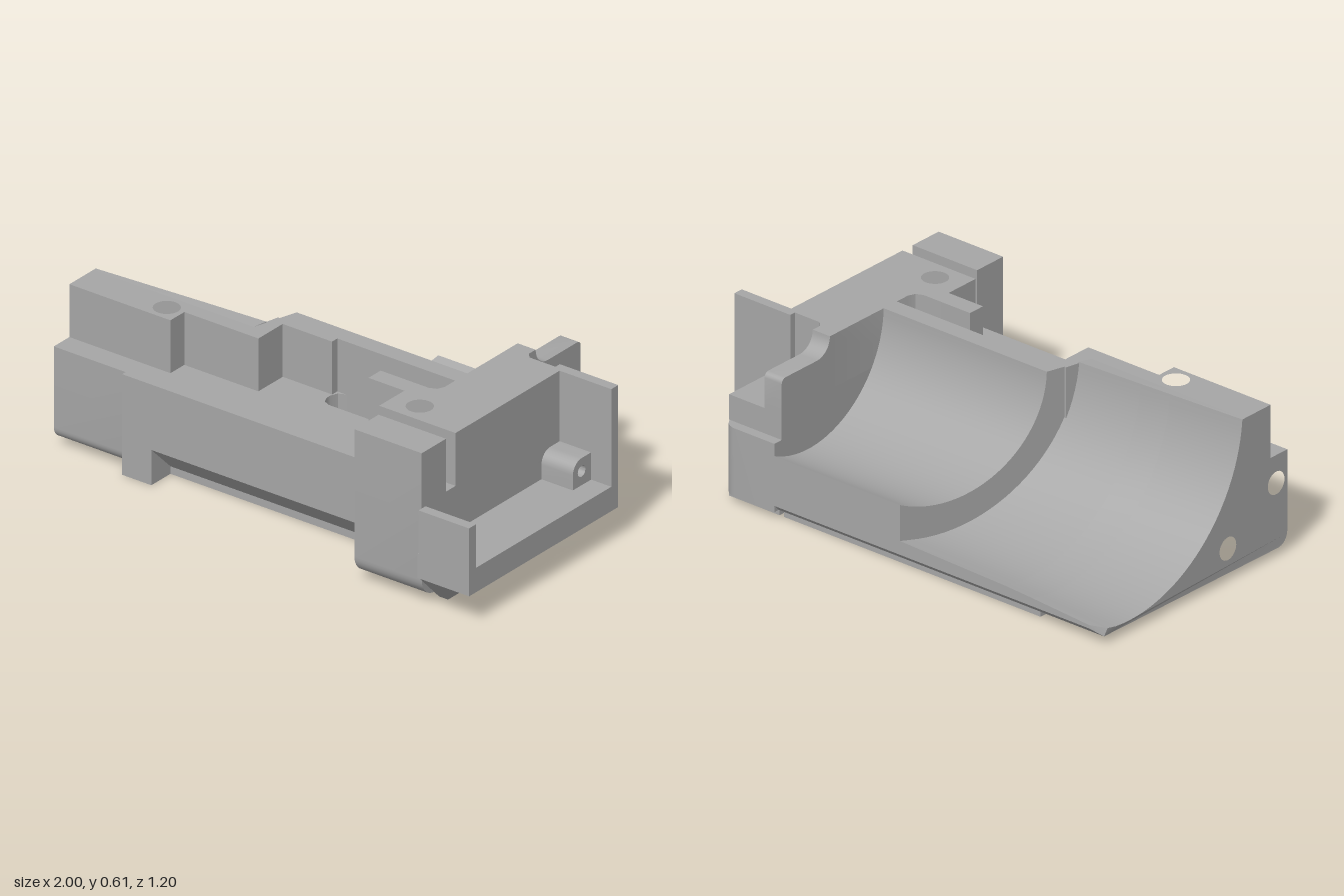
import * as THREE from 'three';
import { toCreasedNormals } from 'three/addons/utils/BufferGeometryUtils.js';

// Slanted step plane between the two cradles
const slant = z => -0.06 - 0.296 * (z + 0.6);
const BIG = { z: -0.45, y: 0.66, r: 0.61 };
const SMALL = { z: -0.42, y: 0.62, r: 0.41 };

// Concave cradle profile from the top face round to the back lip, as [z, y]
function cradleArc(c) {
  const a0 = Math.asin((c.y - 0.61) / c.r), a1 = Math.acos((-0.6 - c.z) / c.r);
  return Array.from({ length: 29 }, (_, i) => {
    const a = a0 + (a1 - a0) * i / 28;
    return [c.z + c.r * Math.cos(a), c.y - c.r * Math.sin(a)];
  });
}

// Quarter arc points as [u, v]
function arc(u, v, r, from, to, n = 8) {
  return Array.from({ length: n + 1 }, (_, i) => {
    const a = (from + (to - from) * i / n) * Math.PI / 180;
    return [u + r * Math.cos(a), v + r * Math.sin(a)];
  });
}

function circle(u, v, r) {
  const p = new THREE.Path();
  p.absarc(u, v, r, 0, Math.PI * 2, true);
  return p;
}

export function createModel() {
  const group = new THREE.Group();
  const grey = new THREE.MeshStandardMaterial({ color: 0xa6a6a6 });

  function add(name, geo) {
    const mesh = new THREE.Mesh(toCreasedNormals(geo, 0.5), grey);
    mesh.name = name;
    group.add(mesh);
  }

  function solid(points, depth, holes) {
    const shape = new THREE.Shape(points.map(p => new THREE.Vector2(...p)));
    shape.holes = holes;
    return new THREE.ExtrudeGeometry(shape, { depth, bevelEnabled: false, curveSegments: 16 });
  }

  // Profile of [z, y] points swept along x; holes are [z, y, r]
  function alongX(name, pts, x0, x1, holes = [], move) {
    const g = solid(pts.map(([z, y]) => [-z, y]), x1 - x0, holes.map(h => circle(-h[0], h[1], h[2])));
    g.rotateY(Math.PI / 2).translate(x0, 0, 0);
    if (move) {
      const p = g.attributes.position, v = new THREE.Vector3();
      for (let i = 0; i < p.count; i++) {
        v.fromBufferAttribute(p, i);
        move(v);
        p.setXYZ(i, v.x, v.y, v.z);
      }
      g.computeVertexNormals();
    }
    add(name, g);
  }

  // Plan of [x, z] points raised along y; holes are [x, z, r]
  function alongY(name, pts, y0, y1, holes = []) {
    const g = solid(pts.map(([x, z]) => [x, -z]), y1 - y0, holes.map(h => circle(h[0], -h[1], h[2])));
    add(name, g.rotateX(-Math.PI / 2).translate(0, y0, 0));
  }

  function box(name, x0, x1, y0, y1, z0, z1) {
    add(name, new THREE.BoxGeometry(x1 - x0, y1 - y0, z1 - z0)
      .translate((x0 + x1) / 2, (y0 + y1) / 2, (z0 + z1) / 2));
  }

  // Large tapering cradle in three lengths with different front edges
  const backEdge = [[-0.6, 0.055], [-0.575, 0.03]];
  const bigProfile = front => [...cradleArc(BIG), ...backEdge, ...front, [0.17, 0.4], [0.17, 0.61]];
  function shapeBig(v) {
    const z0 = v.z, x0 = v.x;
    const d = Math.hypot(v.z - BIG.z, v.y - BIG.y);
    if (Math.abs(d - BIG.r) < 0.002) {
      const k = (BIG.r - 0.06 * (x0 + 1)) / BIG.r;
      v.z = z0 < -0.595 ? z0 : BIG.z + (v.z - BIG.z) * k;
      v.y = BIG.y + (v.y - BIG.y) * k;
    }
    if (x0 < -0.999 && z0 < -0.54) v.x += 0.06 - Math.sqrt(Math.max(0, 0.0036 - (z0 + 0.54) ** 2));
    if (x0 > -0.31) v.x = slant(v.z);
  }
  alongX('largeCradleEnd', bigProfile([...arc(0.35, 0.08, 0.05, -90, 0), [0.4, 0.4]]), -1, -0.68,
    [[0.34, 0.29, 0.045], [0.08, 0.13, 0.045]], shapeBig);
  alongX('largeCradleRib', bigProfile([[0.42, 0.03], [0.42, 0.4]]), -0.68, -0.55, [], shapeBig);
  alongX('largeCradleMiddle', bigProfile([[0.31, 0.03], [0.42, 0.14], [0.42, 0.4]]), -0.55, -0.3, [], shapeBig);

  // Small cradle, starting at the slanted step
  alongX('smallCradle', [...cradleArc(SMALL), ...backEdge, [0.06, 0.03], [0.06, 0.61]], -0.3, 0.525, [],
    v => { if (v.x < -0.29) v.x = slant(v.z); });

  // Lower front body with the long slot
  alongY('slottedBody', [[-0.264, 0.06], [0.04, 0.06], [0.012, 0.072], [0, 0.1], [0, 0.12], [0.012, 0.148],
    [0.04, 0.16], [0.485, 0.16], [0.513, 0.148], [0.525, 0.12], [0.525, 0.06], [0.77, 0.06], [0.77, 0.31],
    [slant(0.31), 0.31]], 0.03, 0.4);
  alongX('frontChamfer', [[0.31, 0.03], [0.42, 0.14], [0.42, 0.4], [0.31, 0.4]], -0.3, 0.43, [],
    v => { if (v.x < -0.29) v.x = slant(v.z); });
  box('frontCorner', 0.43, 0.77, 0.03, 0.4, 0.31, 0.42);

  // Raised rails on top, with screw holes
  alongY('topRail', [[-1, 0.17], [slant(0.17), 0.17], [-0.264, 0.06], [0, 0.06], [0, 0.09], [-0.22, 0.09],
    [-0.22, 0.23], [-0.55, 0.23], [-0.55, 0.31], [-1, 0.31]], 0.4, 0.61, [[-0.62, 0.24, 0.05]]);
  alongY('topEndBlock', [[0.27, 0.16], [0.485, 0.16], [0.513, 0.148], [0.525, 0.12], [0.525, -0.3],
    [0.605, -0.3], [0.605, -0.26], [0.625, -0.24], [0.77, -0.24], [0.77, 0.375], [0.43, 0.375],
    [0.43, 0.23], [0.27, 0.23]], 0.4, 0.61, [[0.545, 0.29, 0.05]]);

  // End wall of the small cradle
  alongY('endWallBase', [[0.525, -0.6], ...arc(0.71, -0.54, 0.06, -90, 0), [0.77, 0.06], [0.525, 0.06]], 0.03, 0.3);
  box('endWallLedge', 0.525, 0.77, 0.3, 0.4, -0.56, 0.06);
  alongX('endWallTop', [[-0.3, 0.4], ...arc(-0.37, 0.61, 0.07, 0, -90),
    ...arc(-0.54, 0.52, 0.02, 90, 180, 4), [-0.56, 0.4]], 0.525, 0.605);

  // Tall front post with a rounded lower edge, behind it a narrow slit
  alongX('frontPost', [[0.42, 0.03], ...arc(0.495, 0.105, 0.075, -90, 0), [0.57, 0.61], [0.43, 0.61],
    [0.43, 0.4], [0.42, 0.4]], 0.47, 0.77);

  // Thin foot pad with slot, groove and hole
  alongY('footPad', [[-0.68, -0.56], [0.515, -0.56], [0.515, 0.06], [0.03, 0.06], [0, 0.09], [0, 0.13],
    [0.03, 0.16], [0.535, 0.16], [0.535, -0.56], [0.77, -0.56], [0.77, 0.31], [0.47, 0.31], [0.47, 0.42],
    [0.43, 0.42], [0.43, 0.31], [-0.55, 0.31], [-0.55, 0.42], [-0.68, 0.42]], 0, 0.03, [[0.33, 0.235, 0.065]]);

  // Open side tray: floor, walls, lugs and chamfered underside
  box('trayFloor', 0.77, 1, 0.125, 0.222, -0.265, 0.595);
  box('trayBackWall', 0.74, 1, 0.222, 0.61, -0.265, -0.225);
  box('trayFrontWall', 0.775, 1, 0.222, 0.395, 0.555, 0.595);
  alongX('trayFrontLug', [[0.555, 0.222], [0.555, 0.33], ...arc(0.49, 0.28, 0.05, 90, 180), [0.44, 0.222]],
    0.77, 0.91, [[0.5, 0.278, 0.022]]);
  alongX('trayBackLug', [[-0.225, 0.222], [-0.225, 0.33], ...arc(-0.17, 0.28, 0.05, 90, 0), [-0.12, 0.222]],
    0.77, 0.91, [[-0.17, 0.278, 0.022]]);
  const keel = solid([[0.77, 0], [0.81, 0], [0.925, 0.125], [0.77, 0.125]], 0.855, []).translate(0, 0, -0.265);
  const kp = keel.attributes.position;
  for (let i = 0; i < kp.count; i++) if (kp.getZ(i) > 0.5 && kp.getY(i) < 0.01) kp.setZ(i, 0.47);
  keel.computeVertexNormals();
  add('trayKeel', keel);

  return group;
}
